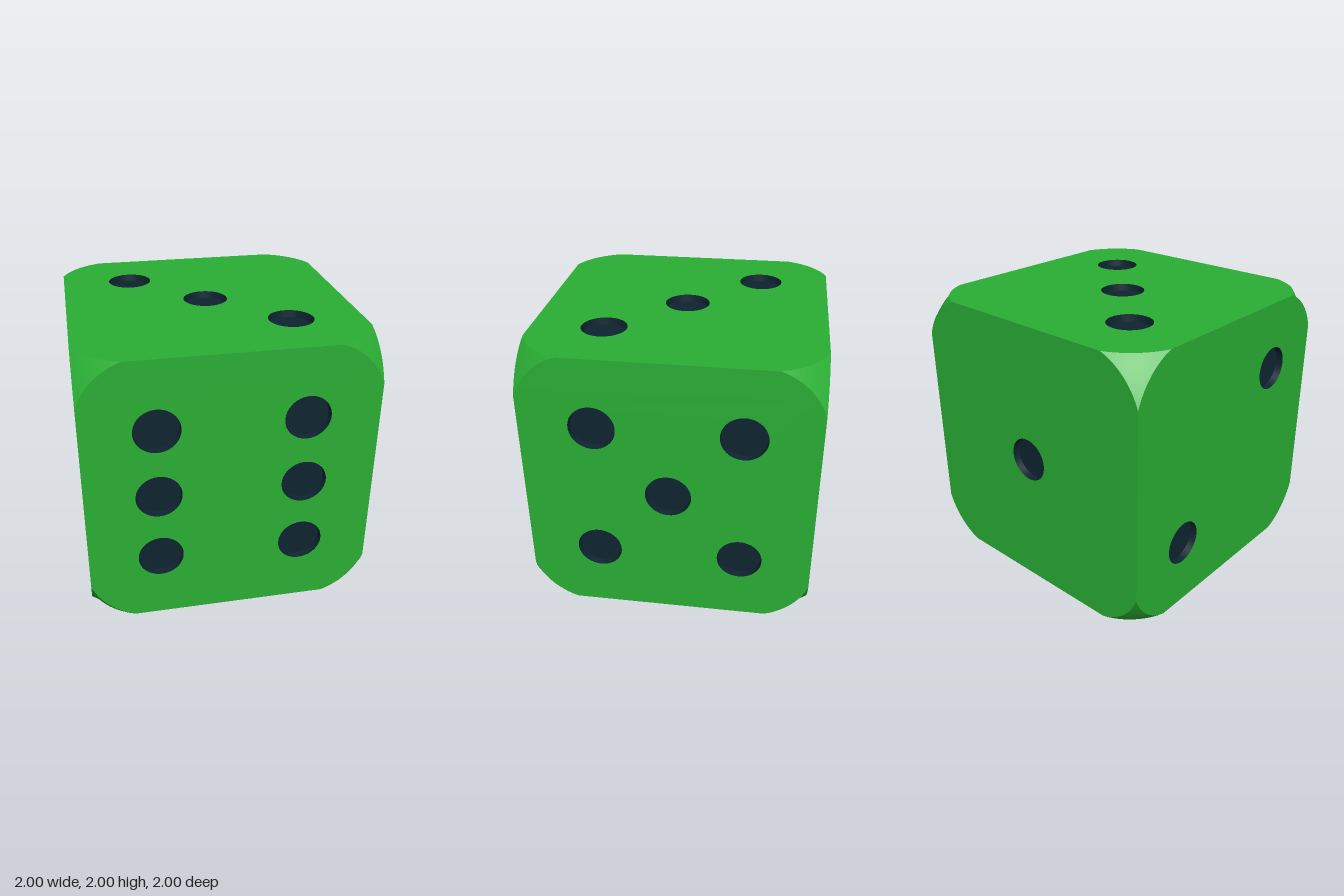
import * as THREE from 'three';

const H = 1;                              // half edge of the cube
const CUT = 0.7;                          // where the rounded corner starts on an edge
const ARC_C = 0.546;                      // centre of the corner arc, on the face diagonal
const ARC_R = Math.hypot(H - ARC_C, CUT - ARC_C);
const BALL_R = 1.59;                      // reach of the corner's middle from the cube centre
const ARC = 20;                           // segments per corner arc
const PIP_R = 0.158, PIP_FLOOR_R = 0.153, PIP_DEPTH = 0.05, PIP_SEG = 48;

const green = new THREE.MeshStandardMaterial({ color: 0x2aae34 });
const dark = new THREE.MeshStandardMaterial({ color: 0x0e2430, side: THREE.DoubleSide });

// points of one rounded face corner, in the quadrant u > 0, v > 0
const arcPoints = Array.from({ length: ARC + 1 }, (_, i) => {
  const a0 = Math.atan2(CUT - ARC_C, H - ARC_C);
  const a = a0 + (Math.PI / 2 - 2 * a0) * i / ARC;
  return new THREE.Vector2(ARC_C + Math.cos(a) * ARC_R, ARC_C + Math.sin(a) * ARC_R);
});

// flat face with round holes, plus the sunken pips behind them
function makeFace(name, pips) {
  const face = new THREE.Group();
  face.name = name;
  const outline = [];
  for (let q = 0; q < 4; q++) {
    for (const p of arcPoints) outline.push(p.clone().rotateAround(new THREE.Vector2(), q * Math.PI / 2));
  }
  const shape = new THREE.Shape(outline);
  const wallGeo = new THREE.CylinderGeometry(PIP_R, PIP_FLOOR_R, PIP_DEPTH, PIP_SEG, 1, true).rotateX(Math.PI / 2);
  const floorGeo = new THREE.CircleGeometry(PIP_FLOOR_R, PIP_SEG);
  for (const [u, v] of pips) {
    shape.holes.push(new THREE.Path().absarc(u, v, PIP_R, 0, Math.PI * 2, true));
    const wall = new THREE.Mesh(wallGeo, dark);
    wall.name = 'pipWall';
    wall.position.set(u, v, H - PIP_DEPTH / 2);
    const floor = new THREE.Mesh(floorGeo, dark);
    floor.name = 'pipFloor';
    floor.position.set(u, v, H - PIP_DEPTH);
    face.add(wall, floor);
  }
  const plate = new THREE.Mesh(new THREE.ShapeGeometry(shape, PIP_SEG / 2), green);
  plate.name = 'facePlate';
  plate.position.z = H;
  face.add(plate);
  return face;
}

// domed corner patch: rings from the corner's middle out to the three face arcs
function cornerGeometry(rings = 10) {
  const rim = [];
  const onFace = [
    (p) => new THREE.Vector3(p.x, p.y, H),  // front
    (p) => new THREE.Vector3(p.y, H, p.x),  // top
    (p) => new THREE.Vector3(H, p.x, p.y),  // side
  ];
  for (const place of onFace) {
    for (let i = 0; i < ARC; i++) rim.push(place(arcPoints[i]));
  }
  const middle = new THREE.Vector3(1, 1, 1).setLength(BALL_R);
  const n = rim.length, pos = [], nor = [], idx = [];
  for (let r = 0; r <= rings; r++) {
    const t = r / rings;
    for (const p of rim) {
      const v = middle.clone().lerp(p, t).setLength(THREE.MathUtils.lerp(BALL_R, p.length(), t));
      pos.push(v.x, v.y, v.z);
      v.normalize();
      nor.push(v.x, v.y, v.z);
    }
  }
  for (let r = 0; r < rings; r++) {
    for (let i = 0; i < n; i++) {
      const a = r * n + i, b = r * n + (i + 1) % n, c = a + n, d = b + n;
      idx.push(a, d, c);
      if (r > 0) idx.push(a, b, d);
    }
  }
  const geo = new THREE.BufferGeometry();
  geo.setAttribute('position', new THREE.Float32BufferAttribute(pos, 3));
  geo.setAttribute('normal', new THREE.Float32BufferAttribute(nor, 3));
  geo.setIndex(idx);
  return geo;
}

export function createModel() {
  const die = new THREE.Group();
  die.name = 'die';
  const body = new THREE.Group();
  body.name = 'dieBody';
  body.position.y = H;
  die.add(body);

  // faces: name, turn about x, turn about y, pip positions
  const q = Math.PI / 2, s = 0.5;
  const four = [[-s, -s], [s, -s], [-s, s], [s, s]];
  const faces = [
    ['frontFaceSix', 0, 0, [...four, [-s, 0], [s, 0]]],
    ['backFaceOne', 0, 2 * q, [[0, 0]]],
    ['leftFaceFive', 0, q, [...four, [0, 0]]],
    ['rightFaceTwo', 0, -q, [[s, s], [-s, -s]]],
    ['topFaceThree', -q, 0, [[-s, s], [0, 0], [s, -s]]],
    ['bottomFaceFour', q, 0, four],
  ];
  for (const [name, rx, ry, pips] of faces) {
    const face = makeFace(name, pips);
    face.rotation.set(rx, ry, 0);
    body.add(face);
  }

  // eight rounded corners: four on top, four turned upside down
  const cornerGeo = cornerGeometry();
  for (const flip of [0, Math.PI]) {
    for (let i = 0; i < 4; i++) {
      const corner = new THREE.Mesh(cornerGeo, green);
      corner.name = 'roundedCorner';
      corner.rotation.set(flip, i * q, 0);
      body.add(corner);
    }
  }
  return die;
}
